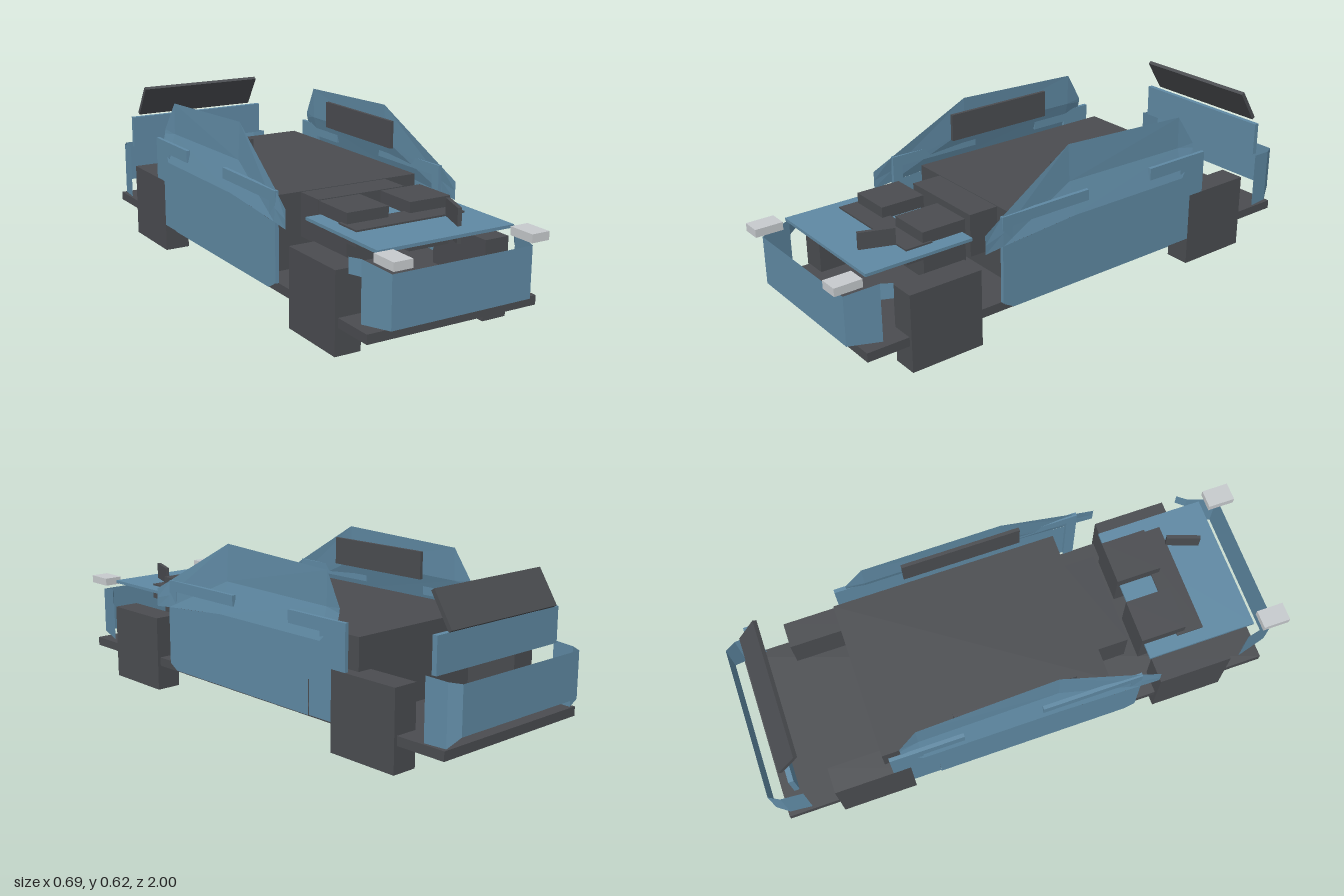
import * as THREE from 'three';

export function createModel() {
  const model = new THREE.Group();
  const mat = (name, color) => {
    const m = new THREE.MeshStandardMaterial({ color });
    m.name = name;
    return m;
  };
  const dark = mat('charcoal', 0x4a4c50);
  const blue = mat('steel blue', 0x5f89a3);
  const light = mat('pale grey', 0xc6cacd);
  blue.side = THREE.DoubleSide; // open body sheets

  const add = (name, geometry, material) => {
    const mesh = new THREE.Mesh(geometry, material);
    mesh.name = name;
    model.add(mesh);
    return mesh;
  };

  // Box given by its limits on each axis
  const box = (name, material, [x0, x1], [y0, y1], [z0, z1]) => {
    const mesh = add(name, new THREE.BoxGeometry(x1 - x0, y1 - y0, z1 - z0), material);
    mesh.position.set((x0 + x1) / 2, (y0 + y1) / 2, (z0 + z1) / 2);
    return mesh;
  };

  // Thin sheet through columns of points, flat shaded
  const sheet = (name, columns) => {
    const rows = columns[0].length;
    const index = [];
    for (let i = 0; i < columns.length - 1; i++) {
      for (let j = 0; j < rows - 1; j++) {
        const a = i * rows + j, b = a + rows;
        index.push(a, a + 1, b, b, a + 1, b + 1);
      }
    }
    let geo = new THREE.BufferGeometry();
    geo.setAttribute('position', new THREE.Float32BufferAttribute(columns.flat(2), 3));
    geo.setIndex(index);
    geo = geo.toNonIndexed();
    geo.computeVertexNormals();
    return add(name, geo, blue);
  };

  // Slab cut from a side outline of [z, y] points, between x0 and x1
  const slab = (name, points, x0, x1) => {
    const shape = new THREE.Shape(points.map(([z, y]) => new THREE.Vector2(-z, y)));
    const geo = new THREE.ExtrudeGeometry(shape, { depth: x1 - x0, bevelEnabled: false });
    geo.rotateY(Math.PI / 2);
    geo.translate(x0, 0, 0);
    return add(name, geo, blue);
  };

  // Chassis, underbody and cabin block
  box('chassisPlate', dark, [-0.33, 0.33], [0.095, 0.128], [-0.968, 0.918]);
  box('underbody', dark, [-0.21, 0.21], [0.06, 0.095], [-0.445, 0.43]);
  box('cabinBlock', dark, [-0.3, 0.3], [0.128, 0.4], [-0.575, 0.285]);
  box('cabinFrontStep', dark, [-0.18, 0.17], [0.24, 0.398], [0.285, 0.4]);

  // Engine bay and bonnet
  box('rightEngineBlock', dark, [-0.207, -0.045], [0.24, 0.41], [0.445, 0.615]);
  box('leftEngineBlock', dark, [0.04, 0.205], [0.24, 0.41], [0.445, 0.615]);
  box('engineTray', dark, [-0.217, 0.212], [0.315, 0.372], [0.583, 0.685]);
  box('bonnet', blue, [-0.265, 0.265], [0.355, 0.366], [0.458, 0.87]);
  const plank = box('engineFin', dark, [0.115, 0.129], [0.307, 0.427], [0.677, 0.803]);
  plank.rotation.y = -0.35;

  // Tail panel and tilted rear window
  box('tailPanel', blue, [-0.3, 0.3], [0.34, 0.466], [-0.903, -0.884]);
  const rearWindow = box('rearWindow', dark, [-0.26, 0.26], [0.463, 0.602], [-0.889, -0.874]);
  rearWindow.rotation.x = 0.56;

  // Wrapped bumpers
  const column = (x, z, y0, y1) => [[x, y0, z], [x, y1, z]];
  sheet('frontBumper', [
    column(-0.3, 0.84, 0.128, 0.337), column(-0.27, 0.957, 0.139, 0.318),
    column(0.27, 0.957, 0.139, 0.318), column(0.3, 0.84, 0.128, 0.337),
  ]);
  sheet('rearBumper', [
    column(0.32, -0.877, 0.128, 0.342), column(0.312, -0.96, 0.128, 0.337),
    column(0.29, -1, 0.17, 0.335), column(-0.29, -1, 0.17, 0.335),
    column(-0.312, -0.96, 0.128, 0.337), column(-0.32, -0.877, 0.128, 0.342),
  ]);

  for (const s of [1, -1]) {
    const side = s > 0 ? 'left' : 'right';
    const span = (a, b) => (s > 0 ? [a, b] : [-b, -a]);

    // Block wheels, headlights and inner side windows
    box(side + 'FrontWheel', dark, span(0.245, 0.342), [0, 0.285], [0.48, 0.76]);
    box(side + 'RearWheel', dark, span(0.245, 0.342), [0, 0.285], [-0.775, -0.49]);
    box(side + 'Headlight', light, span(0.227, 0.297), [0.343, 0.372], [0.898, 1]);
    box(side + 'SideWindow', dark, span(0.287, 0.3), [0.467, 0.57], [-0.3, 0.147]);

    // Bumper flare over the front wheel
    sheet(side + 'BumperFlare', [
      column(s * 0.3, 0.84, 0.28, 0.337), column(s * 0.325, 0.806, 0.285, 0.339),
    ]);

    // Upper side: pillar and roof line, belt, waist
    const profile = (z, ...pts) => pts.map(([x, y]) => [s * x, y, z]);
    sheet(side + 'UpperSide', [
      profile(0.465, [0.345, 0.405], [0.346, 0.37], [0.346, 0.337]),
      profile(0.39, [0.336, 0.447], [0.343, 0.39], [0.346, 0.345]),
      profile(0.08, [0.305, 0.62], [0.312, 0.485], [0.346, 0.37]),
      profile(-0.44, [0.313, 0.6], [0.315, 0.48], [0.346, 0.37]),
      profile(-0.51, [0.323, 0.487], [0.325, 0.47], [0.33, 0.45]),
    ]);

    // Lower door skin
    sheet(side + 'Door', [
      profile(0.39, [0.346, 0.345], [0.346, 0.23], [0.346, 0.128]),
      profile(0.35, [0.346, 0.348], [0.346, 0.23], [0.346, 0.105]),
      profile(0.08, [0.346, 0.37], [0.346, 0.23], [0.346, 0.105]),
      profile(-0.385, [0.346, 0.37], [0.346, 0.23], [0.346, 0.105]),
    ]);
    sheet(side + 'DoorRearStep', [
      profile(-0.385, [0.346, 0.37], [0.346, 0.23]),
      profile(-0.44, [0.346, 0.37], [0.346, 0.23]),
    ]);

    // Stand-out trims ahead of and behind the door
    const [a, b] = span(0.328, 0.342);
    slab(side + 'FrontTrim', [
      [0.39, 0.128], [0.39, 0.448], [0.015, 0.448], [0.015, 0.408], [0.35, 0.408], [0.35, 0.128],
    ], a, b);
    slab(side + 'RearTrim', [
      [-0.28, 0.448], [-0.555, 0.448], [-0.555, 0.285], [-0.49, 0.285], [-0.49, 0.105],
      [-0.385, 0.105], [-0.385, 0.235], [-0.435, 0.235], [-0.435, 0.402], [-0.28, 0.402],
    ], a, b);
  }
  return model;
}
